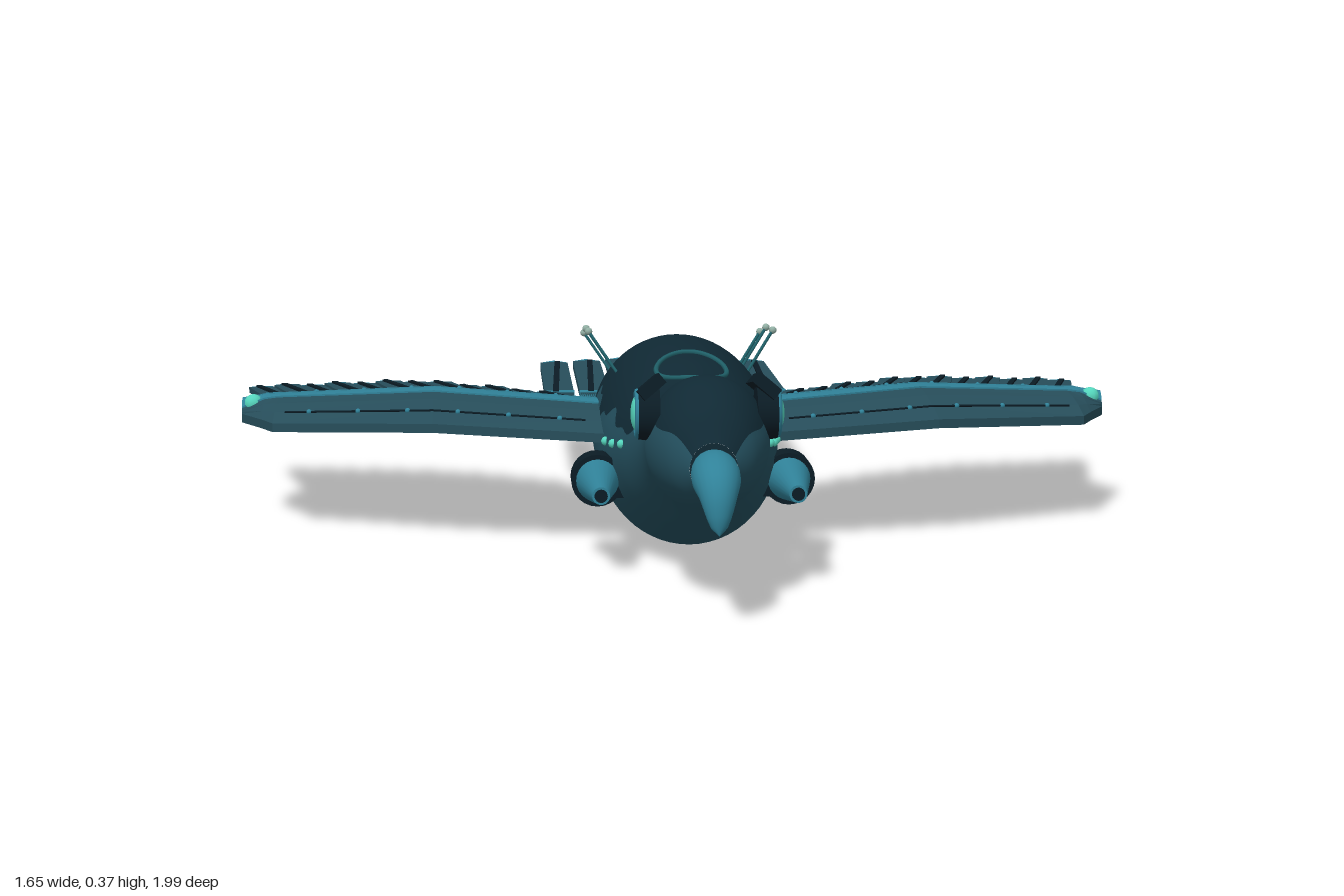
import * as THREE from 'three';
import { mergeGeometries } from 'three/addons/utils/BufferGeometryUtils.js';

const V = (x, y, z) => new THREE.Vector3(x, y, z);
const mat = (name, color) => {
  const m = new THREE.MeshStandardMaterial({ color });
  m.name = name;
  return m;
};

// Surface through rows of points
function loft(rows, flat = false) {
  const n = rows[0].length, idx = [];
  for (let i = 0; i < rows.length - 1; i++)
    for (let j = 0; j < n - 1; j++) {
      const a = i * n + j, b = a + n;
      idx.push(a, b, a + 1, b, b + 1, a + 1);
    }
  let g = new THREE.BufferGeometry().setFromPoints(rows.flat());
  g.setIndex(idx);
  if (flat) g = g.toNonIndexed();
  g.computeVertexNormals();
  return g;
}

// Copy of a geometry on the other side of x = 0
function mirrored(geo) {
  const g = (geo.index ? geo.toNonIndexed() : geo.clone()).scale(-1, 1, 1);
  for (const a of Object.values(g.attributes)) {
    const s = a.itemSize;
    for (let i = 0; i < a.count; i += 3)
      for (let k = 0; k < s; k++) {
        const p = (i + 1) * s + k, q = (i + 2) * s + k, t = a.array[p];
        a.array[p] = a.array[q];
        a.array[q] = t;
      }
  }
  return g;
}

// Linear lookup in a table keyed by its first column, ascending
function lookup(table, k) {
  let i = 0;
  while (i < table.length - 2 && k > table[i + 1][0]) i++;
  const a = table[i], b = table[i + 1];
  const t = THREE.MathUtils.clamp((k - a[0]) / (b[0] - a[0]), 0, 1);
  return a.map((v, j) => v + (b[j] - v) * t);
}

// Body sections: z, top, bottom, half width
const sections = [
  [-0.61, 0.205, 0.155, 0.034], [-0.4, 0.255, 0.1, 0.095], [-0.25, 0.292, 0.055, 0.135],
  [-0.1, 0.332, 0.015, 0.155], [0.1, 0.343, 0.004, 0.162], [0.3, 0.336, 0.006, 0.155],
  [0.45, 0.318, 0.06, 0.13], [0.57, 0.322, 0.118, 0.1], [0.66, 0.35, 0.135, 0.097],
  [0.74, 0.36, 0.143, 0.1], [0.82, 0.33, 0.162, 0.075], [0.87, 0.272, 0.19, 0.038]];
const spine = new THREE.CatmullRomCurve3(sections.map(s => V(s[0], s[1], s[2])));
const girth = new THREE.CatmullRomCurve3(sections.map(s => V(s[0], s[3], 0)));
const fine = [];
for (let i = 0; i <= 110; i++) {
  const p = spine.getPoint(i / 110);
  fine.push([p.x, p.y, p.z, girth.getPoint(i / 110).y]);
}
function bodyPoint(z, a, grow = 0) {
  const [, top, bot, w] = lookup(fine, z);
  return V((w + grow) * Math.cos(a), (top + bot) / 2 + ((top - bot) / 2 + grow) * Math.sin(a), z);
}

// Wing stations: x, y, then z of the panel borders from front to rear
const stations = [
  [0.13, 0.212, 0.315, 0.115, 0.04, 0.028, -0.005, -0.1],
  [0.45, 0.222, 0.235, -0.005, -0.075, -0.087, -0.115, -0.23],
  [0.74, 0.204, 0.085, -0.08, -0.125, -0.131, -0.155, -0.27],
  [0.765, 0.202, 0.02, -0.085, -0.125, -0.13, -0.152, -0.265],
  [0.808, 0.198, -0.085, -0.09, -0.11, -0.113, -0.12, -0.13]];
function wingY(x, z) {
  const s = lookup(stations, x), u = (s[2] - z) / (s[2] - s[7]);
  return s[1] + 0.1 * u * (1 - u) - 0.014;
}
function wingPanel(col, lift = 0) {
  const rows = stations.map(s => {
    const top = [], low = [];
    for (let k = 0; k <= 3; k++) {
      const z = s[col] + (s[col + 1] - s[col]) * k / 3, y = wingY(s[0], z);
      top.push(V(s[0], y + 0.007 + lift, z));
      low.unshift(V(s[0], y - 0.009 - lift, z));
    }
    return [...top, ...low, top[0].clone()];
  });
  const last = rows[rows.length - 1];
  const mid = last[0].clone().lerp(last[4], 0.5);
  rows.push(last.map(() => mid.clone()));
  return loft(rows, true);
}

// Feather running towards -z from the origin: blade, shaft and tip
function feather(w, len, tip, thick) {
  const outline = pts => {
    const g = new THREE.ExtrudeGeometry(new THREE.Shape(pts.map(p => new THREE.Vector2(...p))),
      { depth: thick, bevelEnabled: false });
    return g.rotateX(-Math.PI / 2).translate(0, -thick / 2, 0);
  };
  const h = w / 2, e = len - tip;
  return {
    blade: outline([[-h, 0], [h, 0], [h, e], [0, e + tip * 0.4], [-h, e]]),
    tip: outline([[-h, e], [0, e + tip * 0.4], [h, e], [0, len]]),
    shaft: new THREE.BoxGeometry(w * 0.2, thick + 0.008, e * 0.96).rotateY(-w * 0.25 / e).translate(0, 0, -e / 2),
  };
}

const ball = (p, r) => new THREE.SphereGeometry(r, 10, 8).translate(p.x, p.y, p.z);
function rod(a, b, r) {
  return new THREE.TubeGeometry(new THREE.LineCurve3(a, b), 1, r, 6);
}
const barrel = (rFront, rBack, len, x, y, z, open = false) =>
  new THREE.CylinderGeometry(rFront, rBack, len, 24, 1, open).rotateX(Math.PI / 2).translate(x, y, z);

export function createModel() {
  const model = new THREE.Group();
  const back = mat('midnight back', 0x102934), belly = mat('slate belly', 0x24505f);
  const wing = mat('slate feather', 0x274e5b), teal = mat('teal', 0x308299);
  const dark = mat('dark trim', 0x0b1c25), glow = mat('mint glow', 0x55d6bd);
  const pale = mat('pale antenna', 0x93b0a5), seam = mat('seam teal', 0x1f6068);
  const add = (name, geo, m) => {
    const mesh = new THREE.Mesh(geo, m);
    mesh.name = name;
    model.add(mesh);
  };
  const both = (name, geo, m) => {
    add(name + 'Left', geo, m);
    add(name + 'Right', mirrored(geo), m);
  };

  // Body: dark back over a lighter belly with a wavy border
  const border = z => 0.4 + 0.09 * Math.sin(z * 24) + 0.05 * Math.sin(z * 61);
  const arc = (from, to, n) => fine.slice().reverse().map(([z]) => {
    const a0 = from(z), a1 = to(z);
    return Array.from({ length: n + 1 }, (_, j) => bodyPoint(z, a0 + (a1 - a0) * j / n));
  });
  add('bodyBack', loft(arc(border, z => Math.PI - border(z), 24)), back);
  add('bodyBelly', loft(arc(z => Math.PI - border(z), z => 2 * Math.PI + border(z), 36)), belly);
  const cap = (z, flip) => new THREE.CircleGeometry(1, 24).rotateY(flip ? Math.PI : 0)
    .scale(lookup(fine, z)[3], (lookup(fine, z)[1] - lookup(fine, z)[2]) / 2, 1)
    .translate(0, (lookup(fine, z)[1] + lookup(fine, z)[2]) / 2, z);
  add('rumpCap', cap(-0.61, true), back);
  add('faceCap', cap(0.87, false), back);

  // Hooked beak
  const beakLine = new THREE.CatmullRomCurve3([V(0, 0.226, 0.85), V(0, 0.226, 0.91), V(0, 0.208, 0.958), V(0, 0.145, 0.988)]);
  const beakRows = [];
  for (let i = 0; i <= 16; i++) {
    const t = i / 16, p = beakLine.getPoint(t), d = beakLine.getTangent(t);
    const r = 0.041 * Math.sqrt(Math.max(0, 1 - t ** 2.4)) * (0.8 + 0.2 * Math.sin(Math.PI * t));
    const up = V(0, d.z, -d.y);
    beakRows.push(Array.from({ length: 21 }, (_, j) => {
      const a = -j / 20 * Math.PI * 2;
      return p.clone().add(V(r * Math.cos(a), 0, 0)).addScaledVector(up, r * Math.sin(a));
    }));
  }
  add('beak', loft(beakRows.reverse().map(r => r.reverse())), teal);

  // Eyes and brows
  const disc = (r, len, x) => new THREE.CylinderGeometry(r * 0.9, r, len, 28).rotateZ(-Math.PI / 2).translate(x, 0.3, 0.73);
  both('eyeSocket', disc(0.046, 0.034, 0.095), dark);
  both('eyeRim', new THREE.TorusGeometry(0.035, 0.006, 8, 28).rotateY(Math.PI / 2).translate(0.112, 0.3, 0.73), teal);
  both('eye', new THREE.SphereGeometry(0.03, 20, 14).scale(0.4, 1, 1).translate(0.112, 0.3, 0.73), glow);
  both('brow', new THREE.BoxGeometry(0.045, 0.02, 0.13).rotateZ(-0.7).rotateX(-0.15).translate(0.092, 0.34, 0.715), dark);
  both('cheek', new THREE.BoxGeometry(0.03, 0.04, 0.04).rotateX(0.6).translate(0.088, 0.282, 0.665), dark);

  // Hatch outline on the back
  const ring = Array.from({ length: 40 }, (_, i) => {
    const a = i / 40 * Math.PI * 2, x = 0.06 * Math.cos(a), z = 0.345 + 0.095 * Math.sin(a);
    return bodyPoint(z, Math.acos(x / lookup(fine, z)[3]), 0.002);
  });
  add('hatchRing', new THREE.TubeGeometry(new THREE.CatmullRomCurve3(ring, true), 80, 0.0045, 6, true), seam);

  // Wing panels with paired spar stripes
  both('wingFront', wingPanel(2), wing);
  both('wingSpar', wingPanel(3, 0.003), teal);
  both('wingSparGap', wingPanel(4), dark);
  both('wingSparThin', wingPanel(5, 0.003), teal);
  both('wingRear', wingPanel(6), wing);
  const seams = [], rivets = [];
  for (const [col, mix] of [[2, 0.3], [6, 0.4]]) {
    let prev = null;
    for (let i = 0; i <= 12; i++) {
      const x = 0.18 + i * 0.045, s = lookup(stations, x);
      const z = s[col] + (s[col + 1] - s[col]) * mix, p = V(x, wingY(x, z) + 0.008, z);
      if (prev) seams.push(rod(prev, p, 0.002));
      if (i % 2) rivets.push(ball(p, 0.005));
      prev = p;
    }
  }
  both('wingSeams', mergeGeometries(seams), dark);
  both('wingRivets', mergeGeometries(rivets), teal);
  both('wingTipLight', ball(V(0.787, 0.208, -0.1), 0.018), glow);

  // Wing feathers, fanned outward, longer towards the tip
  const quills = { blade: [], tip: [], shaft: [] };
  const tips = [[0.2, -0.18], [0.3, -0.3], [0.42, -0.385], [0.56, -0.455], [0.7, -0.485], [0.805, -0.51]];
  for (let i = 0; i < 13; i++) {
    const k = i / 12, tx = 0.2 + 0.605 * k, tz = lookup(tips, tx)[1];
    const bx = 0.17 + 0.58 * k, bz = lookup(stations, bx)[7] + 0.05;
    const len = Math.hypot(tx - bx, tz - bz), f = feather(0.05, len, 0.03, 0.011);
    const y = wingY(bx, bz) - 0.002;
    for (const key in f)
      quills[key].push(f[key].rotateX(-0.06).rotateY(Math.atan2(bx - tx, bz - tz)).translate(bx, y + (i % 2) * 0.003, bz));
  }
  both('wingFeathers', mergeGeometries(quills.blade), wing);
  both('wingFeatherTips', mergeGeometries(quills.tip), teal);
  both('wingFeatherShafts', mergeGeometries(quills.shaft), dark);

  // Tail feathers
  for (let i = -3; i <= 3; i++) {
    const len = [0.585, 0.565, 0.543, 0.52][Math.abs(i)], f = feather(0.058, len, 0.035, 0.014);
    for (const key in f) f[key].translate(i * 0.07, 0.175, -0.41);
    add('tailFeather', f.blade, wing);
    add('tailTip', f.tip, teal);
    add('tailShaft', f.shaft, dark);
    add('tailBand', new THREE.BoxGeometry(0.06, 0.017, 0.026).translate(i * 0.07, 0.175, -0.423), teal);
  }

  // Side pods
  both('podCollar', barrel(0.045, 0.045, 0.055, 0.165, 0.138, 0.375), dark);
  both('podBracket', new THREE.BoxGeometry(0.07, 0.07, 0.05).translate(0.13, 0.142, 0.375), dark);
  both('podCone', barrel(0.015, 0.037, 0.16, 0.165, 0.138, 0.482), teal);
  both('podMuzzle', barrel(0.011, 0.011, 0.004, 0.165, 0.138, 0.563), dark);

  // Rear thrusters
  both('thrusterCollar', barrel(0.036, 0.036, 0.06, 0.1, 0.135, -0.44), dark);
  both('thruster', barrel(0.034, 0.03, 0.12, 0.1, 0.135, -0.53), teal);
  both('thrusterMouth', barrel(0.025, 0.025, 0.004, 0.1, 0.135, -0.591), dark);
  both('thrusterGlow', new THREE.TorusGeometry(0.018, 0.004, 8, 24).translate(0.1, 0.135, -0.593), glow);

  // Antennae and side lights
  for (const [z, top] of [[0.06, 0.357], [-0.075, 0.347], [-0.2, 0.325]]) {
    const foot = V(0.115, top - 0.075, z + 0.045), tip = V(0.168, top, z);
    both('antenna', rod(foot, tip, 0.003), seam);
    both('antennaBall', ball(tip, 0.007), pale);
  }
  for (const z of [0.46, 0.4, 0.34]) both('sideLight', ball(bodyPoint(z, 0.15), 0.008), glow);
  return model;
}
